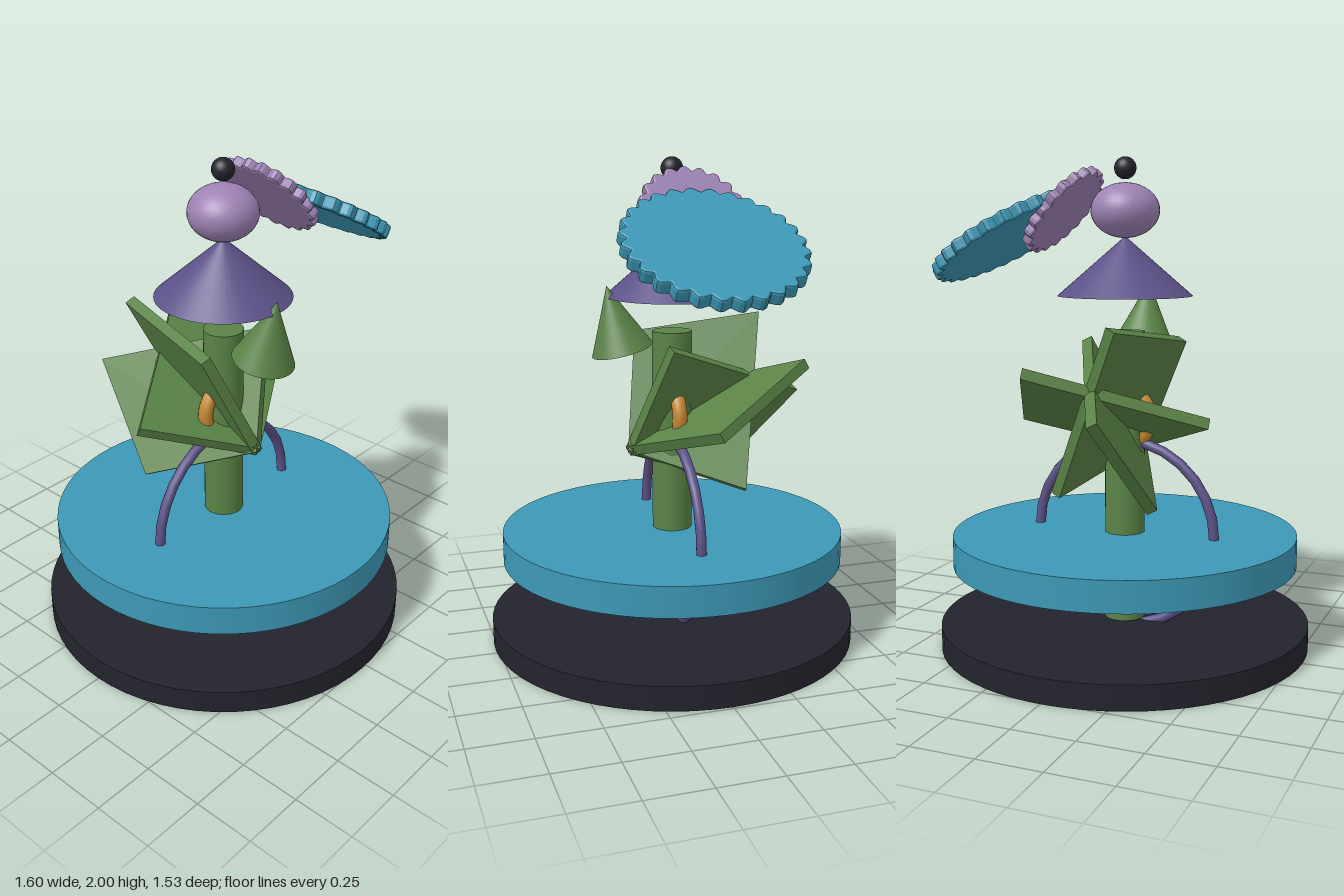
import * as THREE from 'three';

const material = (name, color) => {
  const m = new THREE.MeshStandardMaterial({ color });
  m.name = name;
  return m;
};

export function createModel() {
  const dark = material('charcoal', 0x23232d);
  const teal = material('teal', 0x3d98b6);
  const green = material('leaf green', 0x5a8347);
  const purple = material('purple', 0x5c5188);
  const lilac = material('lilac', 0x9d82b3);
  const orange = material('orange', 0xc4872f);

  const model = new THREE.Group();
  const axisX = -0.025; // the stack stands slightly off centre
  const add = (name, geometry, mat, x, y, z = 0) => {
    const mesh = new THREE.Mesh(geometry, mat);
    mesh.name = name;
    mesh.position.set(x, y, z);
    model.add(mesh);
    return mesh;
  };

  // Base, raised disc and post
  add('base', new THREE.CylinderGeometry(0.765, 0.765, 0.1, 64), dark, axisX, 0.05);
  add('disc', new THREE.CylinderGeometry(0.712, 0.712, 0.125, 64), teal, axisX, 0.408);
  add('post', new THREE.CylinderGeometry(0.082, 0.082, 1.2, 32), green, axisX, 0.705);

  // Upright hoop through the disc and small collar ring on the post
  add('hoop', new THREE.TorusGeometry(0.39, 0.021, 12, 28), purple, axisX, 0.465);
  add('collarRing', new THREE.TorusGeometry(0.11, 0.031, 12, 28), orange, axisX, 0.95);

  // Floating skirt, head and top ball
  add('skirt', new THREE.ConeGeometry(0.275, 0.24, 48), purple, axisX, 1.568);
  const head = add('head', new THREE.SphereGeometry(0.14, 32, 20), lilac, axisX, 1.79);
  head.scale.y = 0.79;
  add('topBall', new THREE.SphereGeometry(0.045, 24, 16), dark, axisX, 1.957);

  // Tilted cone in front of the post
  const cone = add('tiltedCone', new THREE.ConeGeometry(0.127, 0.27, 32), green, axisX, 1.367, 0.242);
  cone.rotation.x = 0.24;

  // Three slanted four-sided plates crossing on one tilted axis
  const outline = new THREE.Shape([[0, 0], [0.425, 0.295], [0.217, 0.79], [-0.395, 0.325]]
    .map(([x, y]) => new THREE.Vector2(x, y)));
  const plateGeometry = new THREE.ExtrudeGeometry(outline, { depth: 0.045, bevelEnabled: false });
  plateGeometry.translate(0, 0, -0.0225);
  const plates = new THREE.Group();
  plates.name = 'crossedPlates';
  plates.position.set(axisX, 0.808, 0.19);
  plates.rotation.x = -1.085;
  for (let i = 0; i < 3; i++) {
    const plate = new THREE.Mesh(plateGeometry, green);
    plate.name = 'plate' + (i + 1);
    plate.rotation.y = i * Math.PI * 2 / 3;
    plates.add(plate);
  }
  model.add(plates);

  // Scalloped wheels, tilted down to the side
  const wheelGeometry = (radius, wave, teeth, thickness) => {
    const points = [];
    const count = teeth * 8;
    for (let i = 0; i < count; i++) {
      const a = i / count * Math.PI * 2;
      const r = radius + wave * Math.cos(a * teeth) - 0.01;
      points.push(new THREE.Vector2(r * Math.cos(a), r * Math.sin(a)));
    }
    const g = new THREE.ExtrudeGeometry(new THREE.Shape(points), {
      depth: thickness - 0.02, bevelThickness: 0.01, bevelSize: 0.01, bevelSegments: 2,
    });
    g.translate(0, 0, 0.01 - thickness / 2);
    return g.rotateX(-Math.PI / 2);
  };
  const bigWheel = add('bigWheel', wheelGeometry(0.342, 0.013, 28, 0.055), teal, 0.494, 1.687);
  bigWheel.rotation.z = -0.53;
  const smallWheel = add('smallWheel', wheelGeometry(0.205, 0.011, 20, 0.045), lilac, 0.247, 1.792);
  smallWheel.rotation.z = -0.865;

  return model;
}
